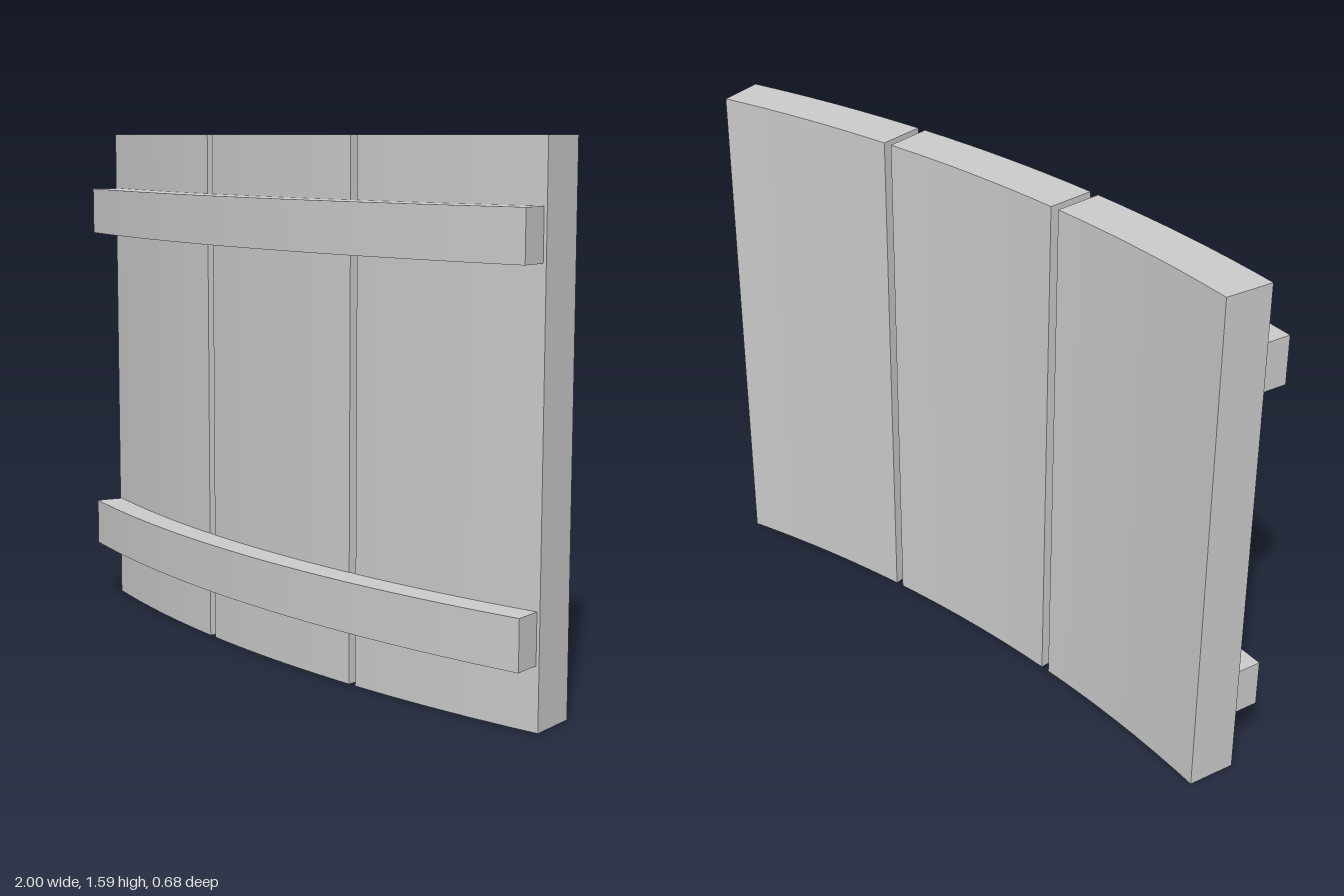
import * as THREE from 'three';

const CENTRE_X = 1, CENTRE_Z = -4.244;   // axis of the curved wall
const BACK = 4.344, FRONT = 4.496, RAIL = 4.584;   // radii

// Arc-shaped slab between two radii and two angles (degrees), standing from y0 to y1
function arcSlab(inner, outer, from, to, y0, y1, segments) {
  const points = [];
  const add = (r, i) => {
    const t = THREE.MathUtils.degToRad(from + (to - from) * i / segments);
    points.push(new THREE.Vector2(CENTRE_X - r * Math.sin(t), -CENTRE_Z - r * Math.cos(t)));
  };
  for (let i = 0; i <= segments; i++) add(outer, i);
  for (let i = segments; i >= 0; i--) add(inner, i);
  const geometry = new THREE.ExtrudeGeometry(new THREE.Shape(points), { depth: y1 - y0, bevelEnabled: false });
  geometry.rotateX(-Math.PI / 2);
  geometry.translate(0, y0, 0);
  return geometry;
}

export function createModel() {
  const model = new THREE.Group();
  model.name = 'curvedPlankWall';
  const grey = new THREE.MeshStandardMaterial({ color: 0xcccccc });
  grey.name = 'light grey';

  const addPart = (name, geometry) => {
    const mesh = new THREE.Mesh(geometry, grey);
    mesh.name = name;
    model.add(mesh);
  };

  // Three upright planks with narrow open gaps
  [['leftPlank', 0, 8.24], ['middlePlank', 8.58, 16.95], ['rightPlank', 17.33, 26.06]].forEach(
    ([name, from, to]) => addPart(name, arcSlab(BACK, FRONT, from, to, 0, 1.587, 8)));

  // Two curved rails across the front
  [['lowerRail', 0.185, 0.333], ['upperRail', 1.257, 1.405]].forEach(
    ([name, y0, y1]) => addPart(name, arcSlab(FRONT - 0.003, RAIL, 0.12, 25.87, y0, y1, 24)));

  return model;
}
